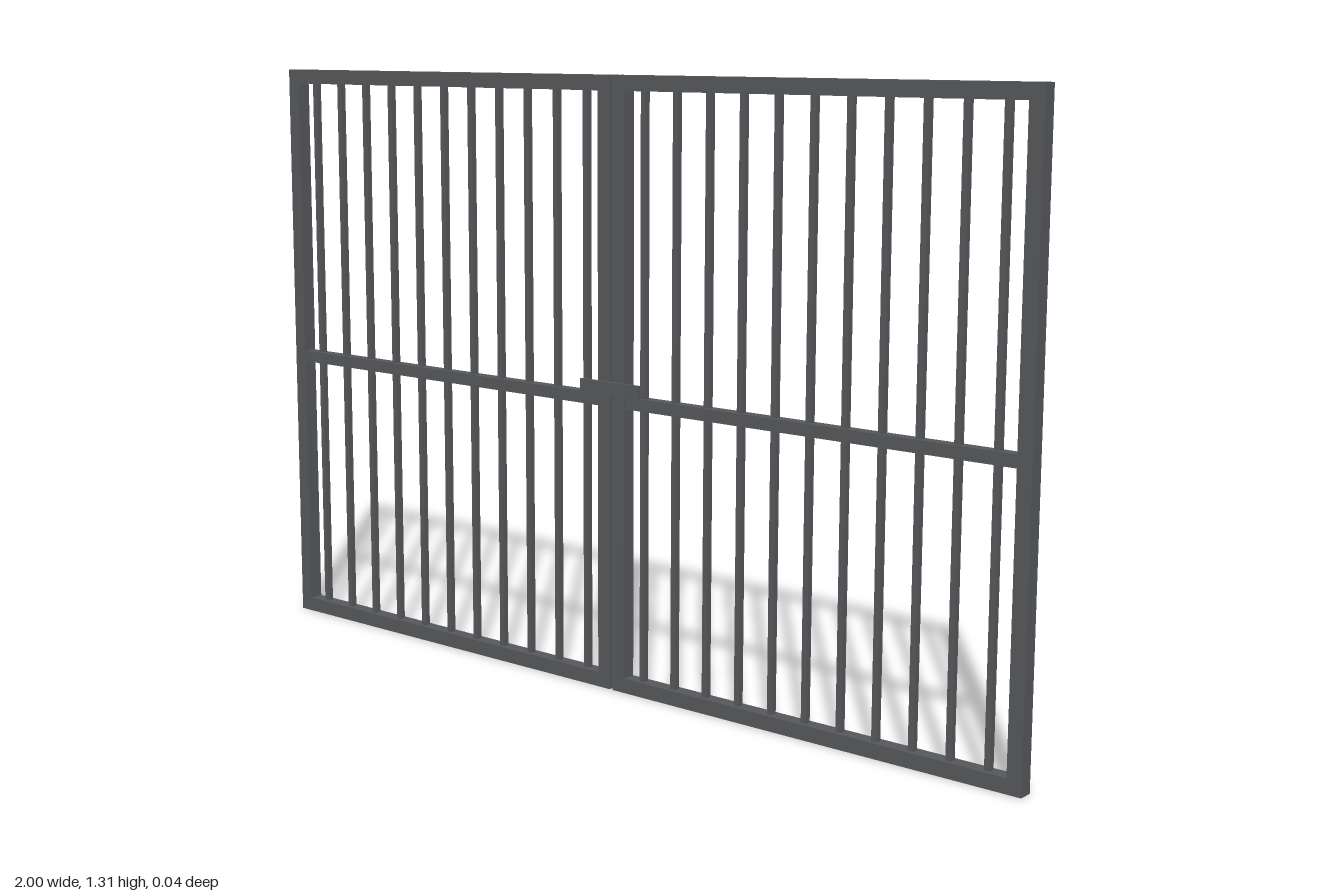
import * as THREE from 'three';

export function createModel() {
  const gate = new THREE.Group();
  gate.name = 'doubleGate';
  const steel = new THREE.MeshStandardMaterial({ color: 0x55575a });
  steel.name = 'darkSteel';

  const HEIGHT = 1.313, TUBE = 0.032, GAP = 0.004;
  const FRAME_Z = -0.004; // centre of the frame depth
  const BARS = 11;

  // Box given by its x and y limits
  function addBox(parent, name, x0, x1, y0, y1, depth, z = FRAME_Z) {
    const mesh = new THREE.Mesh(new THREE.BoxGeometry(x1 - x0, y1 - y0, depth), steel);
    mesh.position.set((x0 + x1) / 2, (y0 + y1) / 2, z);
    mesh.name = name;
    parent.add(mesh);
  }

  // One leaf, spanning from the centre gap out to the hinge side
  function makeLeaf(name, side) {
    const leaf = new THREE.Group();
    leaf.name = name;
    const part = (label, a, b, y0, y1, depth) =>
      addBox(leaf, label, Math.min(side * a, side * b), Math.max(side * a, side * b), y0, y1, depth);

    const inner = GAP + TUBE, outer = 1 - TUBE;
    part('hingePost', outer, 1, 0, HEIGHT, TUBE);
    part('meetingPost', GAP, inner, TUBE, HEIGHT - TUBE, TUBE);
    part('topRail', GAP, outer, HEIGHT - TUBE, HEIGHT, TUBE);
    part('bottomRail', GAP, outer, 0, TUBE, TUBE);
    part('middleRail', inner, outer, 0.619, 0.645, 0.026);

    // Upright bars
    for (let i = 0; i < BARS; i++) {
      const x = 0.079 + (i * 0.842) / (BARS - 1);
      part('bar', x - 0.0065, x + 0.0065, TUBE, HEIGHT - TUBE, 0.013);
    }
    return leaf;
  }

  gate.add(makeLeaf('leftLeaf', 1), makeLeaf('rightLeaf', -1));

  // Sliding latch across the front of both meeting posts
  addBox(gate, 'latch', -0.08, 0.08, 0.647, 0.674, 0.008, 0.016);
  return gate;
}
